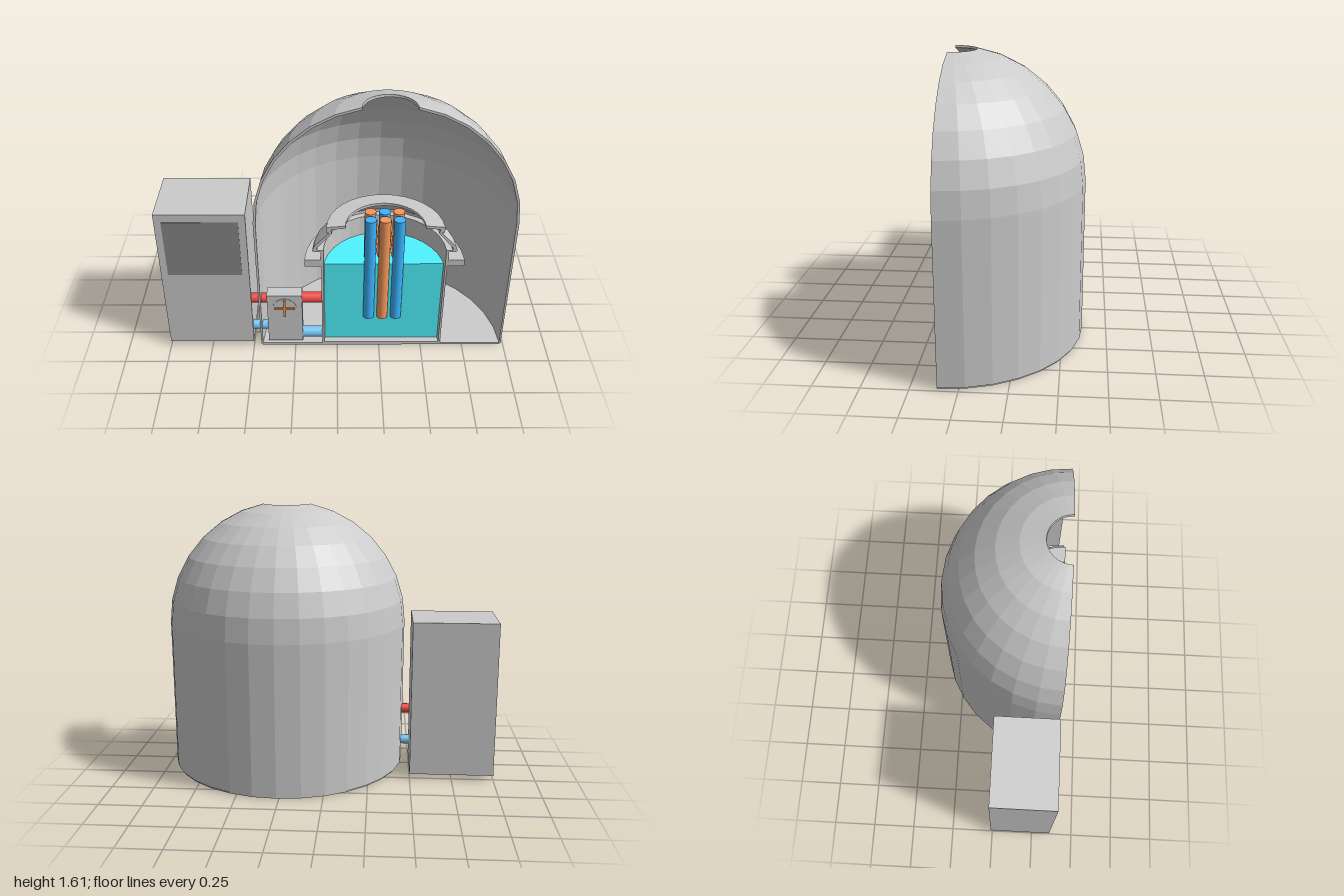
import * as THREE from 'three';

const CX = 0.265;   // axis of dome and vessel
const CUT = 0.36;   // plane of the section cut
const HALF = 16;    // segments around each half turn

const paint = (color = 0xcccccc, flatShading = false) =>
  new THREE.MeshStandardMaterial({ color, flatShading, side: THREE.DoubleSide });
const grey = paint(0xcccccc, true);
const cyan = paint(0x4ff4ff, true);
const blue = paint(0x3cb4ff);
const orange = paint(0xf5985a);
const red = paint(0xf04a44);
const lightBlue = paint(0x78c8f5);

function add(parent, name, geometry, material, x = 0, y = 0, z = 0) {
  const mesh = new THREE.Mesh(geometry, material);
  mesh.name = name;
  mesh.position.set(x, y, z);
  parent.add(mesh);
  return mesh;
}

// Closed counterclockwise profile [radius, y] turned through the back half, with cut faces
function halfTurned(name, profile, material) {
  const group = new THREE.Group();
  group.name = name;
  const points = profile.map(([r, y]) => new THREE.Vector2(r, y));
  add(group, name + 'Shell',
    new THREE.LatheGeometry([...points, points[0].clone()], HALF, Math.PI / 2, Math.PI), material);
  for (const side of [1, -1]) {
    const shape = new THREE.Shape(points.map(p => new THREE.Vector2(p.x * side, p.y)));
    add(group, name + 'CutFace', new THREE.ShapeGeometry(shape), material);
  }
  group.position.set(CX, 0, CUT);
  return group;
}

function box(parent, name, [x0, x1], [y0, y1], [z0, z1], material) {
  return add(parent, name, new THREE.BoxGeometry(x1 - x0, y1 - y0, z1 - z0), material,
    (x0 + x1) / 2, (y0 + y1) / 2, (z0 + z1) / 2);
}

function pipe(parent, name, x0, x1, y, radius, material) {
  const geometry = new THREE.CylinderGeometry(radius, radius, x1 - x0, 20).rotateZ(Math.PI / 2);
  add(parent, name, geometry, material, (x0 + x1) / 2, y, 0.32);
}

export function createModel() {
  const model = new THREE.Group();
  model.name = 'reactorCutaway';

  // Containment dome: straight wall, round top with an open crown
  const arc = r => Array.from({ length: 8 }, (_, i) => {
    const a = i * Math.PI / 16;
    return [r * Math.cos(a), 0.9 + r * Math.sin(a)];
  });
  const dome = [[0.712, 0.01], [0.722, 0.01], ...arc(0.725), ...arc(0.711).reverse()];
  model.add(halfTurned('containmentDome', dome, grey));
  model.add(halfTurned('floor', [[0, 0], [0.715, 0], [0.715, 0.015], [0, 0.015]], grey));

  // Vessel wall with its lower flange
  model.add(halfTurned('vesselWall', [
    [0, 0.013], [0.355, 0.013], [0.355, 0.605], [0.45, 0.605], [0.45, 0.65], [0.36, 0.65],
    [0.36, 0.635], [0.343, 0.635], [0.343, 0.022], [0, 0.022],
  ], grey));

  // Vessel head: neck, sloping shoulder and open top rim
  model.add(halfTurned('vesselHead', [
    [0.343, 0.632], [0.358, 0.632], [0.358, 0.705], [0.395, 0.705], [0.405, 0.715], [0.395, 0.745],
    [0.31, 0.835], [0.325, 0.84], [0.325, 0.875], [0.22, 0.885], [0.22, 0.868],
    [0.3, 0.86], [0.296, 0.83], [0.378, 0.735], [0.378, 0.717], [0.343, 0.717],
  ], grey));

  // Coolant, cut slightly behind the section plane
  const coolant = halfTurned('coolant', [[0, 0.021], [0.341, 0.021], [0.341, 0.59], [0, 0.59]], cyan);
  coolant.position.z = 0.32;
  coolant.scale.z = 0.88;
  model.add(coolant);

  // Rods in two rows of alternating colour
  const rods = new THREE.Group();
  rods.name = 'rods';
  model.add(rods);
  for (let row = 0; row < 2; row++) {
    for (let col = 0; col < 3; col++) {
      const isFuel = (row + col) % 2 === 0;
      add(rods, isFuel ? 'fuelRod' : 'controlRod', new THREE.CylinderGeometry(0.032, 0.032, 0.7, 20),
        isFuel ? blue : orange, CX + (col - 1) * 0.08, 0.55, 0.322 - row * 0.078);
    }
  }
  // Thin spacer pins between the rods
  for (const x of [CX - 0.04, CX + 0.04]) {
    for (const y of [0.68, 0.74, 0.8]) {
      add(rods, 'spacerPin', new THREE.CylinderGeometry(0.006, 0.006, 0.15, 8).rotateX(Math.PI / 2),
        orange, x, y, 0.265);
    }
  }

  // Pump with round badge and crossed blades
  const pump = new THREE.Group();
  pump.name = 'pump';
  model.add(pump);
  box(pump, 'pumpHousing', [-0.41, -0.205], [0.035, 0.385], [0.28, 0.358], grey);
  add(pump, 'pumpDisc', new THREE.CylinderGeometry(0.07, 0.07, 0.01, 28).rotateX(Math.PI / 2),
    paint(0xf8f8f8), -0.308, 0.29, 0.356);
  box(pump, 'pumpBlade', [-0.368, -0.248], [0.283, 0.297], [0.355, 0.368], orange);
  box(pump, 'pumpBlade', [-0.315, -0.301], [0.23, 0.35], [0.355, 0.368], orange);

  // Hot and cold pipes
  pipe(model, 'hotPipeOuter', -0.51, -0.4, 0.34, 0.029, red);
  pipe(model, 'hotPipeInner', -0.215, -0.085, 0.343, 0.033, red);
  pipe(model, 'coldPipeOuter', -0.51, -0.4, 0.133, 0.029, lightBlue);
  pipe(model, 'coldPipeInner', -0.215, -0.085, 0.073, 0.033, lightBlue);

  // Control cabinet with dark screen
  box(model, 'cabinet', [-1, -0.5], [0.03, 0.96], [-0.01, 0.359], grey);
  box(model, 'cabinetScreen', [-0.96, -0.54], [0.545, 0.91], [0.35, 0.362], paint(0x888888));

  return model;
}
